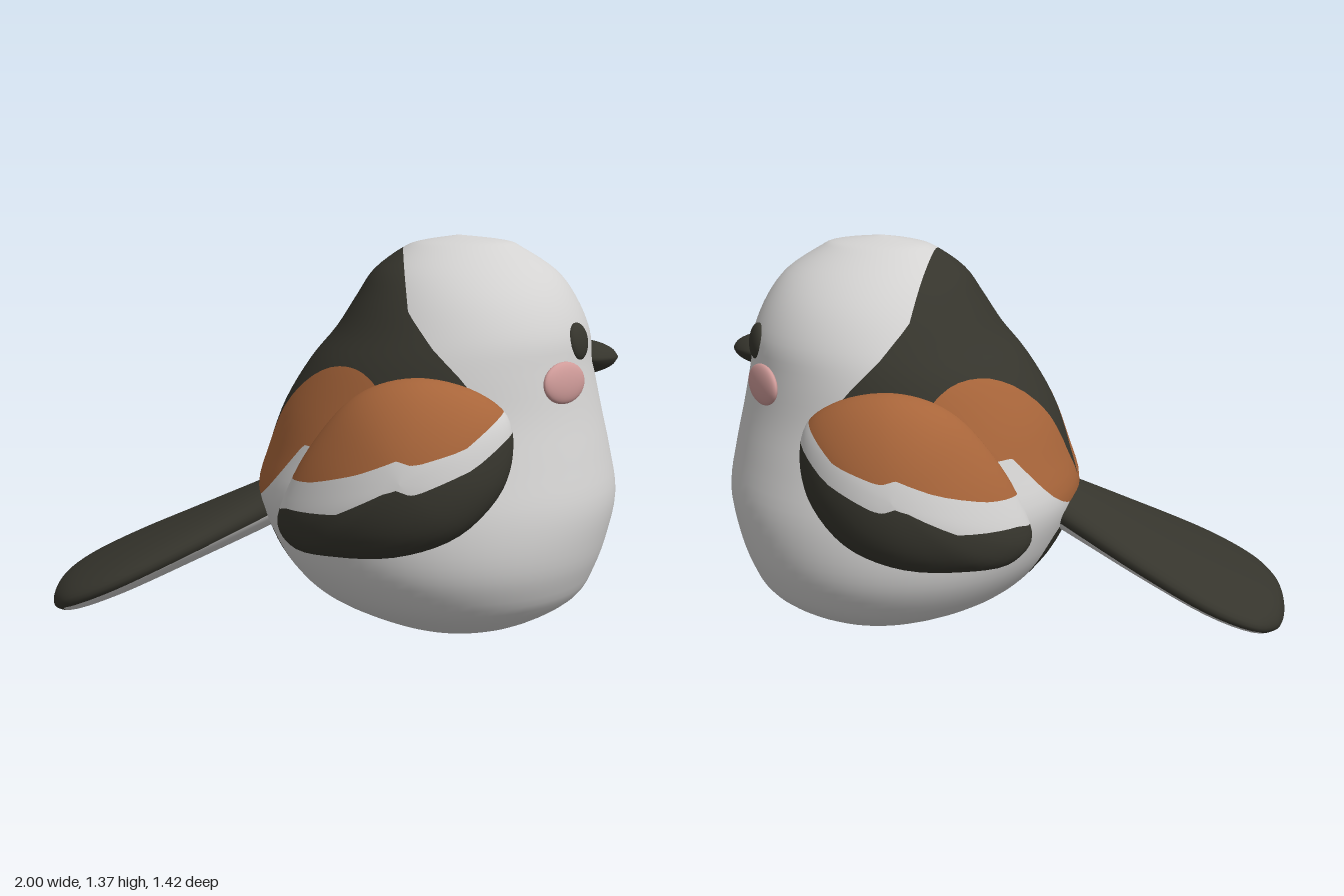
import * as THREE from 'three';

const mat = (name, color, extra = {}) => {
  const m = new THREE.MeshStandardMaterial({ color, ...extra });
  m.name = name;
  return m;
};

// Catmull-Rom resampling of a small table of cross-section rows
function refine(rows, steps) {
  const out = [], last = rows.length - 1;
  for (let i = 0; i < last; i++) {
    const [a, b, c, d] = [rows[Math.max(i - 1, 0)], rows[i], rows[i + 1], rows[Math.min(i + 2, last)]];
    for (let k = 0; k < steps; k++) {
      const t = k / steps;
      out.push(b.map((v, n) => v + 0.5 * t * (c[n] - a[n] + t * (2 * a[n] - 5 * v + 4 * c[n] - d[n]
        + t * (3 * (v - c[n]) + d[n] - a[n])))));
    }
  }
  out.push(rows[last]);
  return out;
}

// Skin closed loops: place(row, u) returns a point for u in 0..1
function loft(rows, seg, place) {
  const pos = [], idx = [];
  rows.forEach((row, i) => {
    for (let j = 0; j < seg; j++) {
      pos.push(...place(row, j / seg));
      if (i === rows.length - 1) continue;
      const a = i * seg + j, b = i * seg + (j + 1) % seg;
      idx.push(a, a + seg, b, b, a + seg, b + seg);
    }
  });
  const g = new THREE.BufferGeometry();
  g.setAttribute('position', new THREE.Float32BufferAttribute(pos, 3));
  g.setIndex(idx);
  g.computeVertexNormals();
  return g;
}

// Cut a geometry along f(x, y, z) = 0; returns [positive side, negative side]
function split(geo, f) {
  const src = geo.index ? geo.toNonIndexed() : geo;
  const P = src.attributes.position.array, N = src.attributes.normal.array;
  const sides = [1, -1].map((sign) => {
    const pos = [], nor = [];
    for (let t = 0; t < P.length; t += 9) {
      const tri = [0, 3, 6].map((o) => {
        const p = [...P.slice(t + o, t + o + 3)];
        return { v: [...p, ...N.slice(t + o, t + o + 3)], d: sign * f(...p) };
      });
      const poly = [];
      tri.forEach((a, k) => {
        const b = tri[(k + 1) % 3];
        if (a.d >= 0) poly.push(a.v);
        if ((a.d >= 0) !== (b.d >= 0)) {
          const s = a.d / (a.d - b.d);
          poly.push(a.v.map((q, n) => q + s * (b.v[n] - q)));
        }
      });
      for (let k = 1; k + 1 < poly.length; k++) {
        for (const v of [poly[0], poly[k], poly[k + 1]]) {
          pos.push(v[0], v[1], v[2]);
          nor.push(v[3], v[4], v[5]);
        }
      }
    }
    const g = new THREE.BufferGeometry();
    g.setAttribute('position', new THREE.Float32BufferAttribute(pos, 3));
    g.setAttribute('normal', new THREE.Float32BufferAttribute(nor, 3));
    return g;
  });
  return sides;
}

// Piecewise-linear lookup in [[x, y], ...]
function lookup(table, x) {
  if (x <= table[0][0]) return table[0][1];
  for (let i = 1; i < table.length; i++) {
    const [x0, y0] = table[i - 1], [x1, y1] = table[i];
    if (x <= x1) return y0 + (y1 - y0) * (x - x0) / (x1 - x0);
  }
  return table[table.length - 1][1];
}

export function createModel() {
  const model = new THREE.Group();
  model.name = 'bird';
  const white = mat('white plumage', 0xd3d2d1);
  const dark = mat('dark plumage', 0x36352d);
  const orange = mat('orange plumage', 0xa8653a);
  const pink = mat('pink cheek', 0xcf9b99);
  const add = (parent, name, geo, material) => {
    const m = new THREE.Mesh(geo, material);
    m.name = name;
    parent.add(m);
    return m;
  };
  const group = (name) => {
    const g = new THREE.Group();
    g.name = name;
    model.add(g);
    return g;
  };
  const TAU = Math.PI * 2;

  // Body: y, back x, front x, half width
  const bodyRows = [
    [0.005, 0.42, 0.42, 0], [0.025, 0.27, 0.60, 0.20], [0.06, 0.15, 0.74, 0.34], [0.15, -0.04, 0.885, 0.5],
    [0.25, -0.145, 0.94, 0.575], [0.36, -0.21, 0.975, 0.605], [0.5, -0.255, 1.0, 0.595],
    [0.65, -0.215, 0.975, 0.55], [0.8, -0.16, 0.94, 0.505], [0.95, -0.07, 0.908, 0.47],
    [1.06, 0.02, 0.893, 0.43], [1.17, 0.09, 0.845, 0.36], [1.26, 0.15, 0.775, 0.265],
    [1.335, 0.25, 0.66, 0.145], [1.36, 0.32, 0.60, 0.085], [1.378, 0.44, 0.44, 0],
  ];
  const bodyGeo = loft(refine(bodyRows, 4), 72, ([y, xb, xf, w], u) => [
    (xb + xf) / 2 + (xf - xb) / 2 * Math.cos(u * TAU), y, w * Math.sin(u * TAU)]);

  // Plumage regions of the body
  const capEdge = [[0.9, 0.48], [0.93, 0.46], [1.035, 0.355], [1.14, 0.275], [1.33, 0.25]];
  const backRegion = (x, y) => Math.min(lookup(capEdge, y) - x, y - Math.min(0.48 + 1.27 * (x + 0.24), 0.7));
  const [vent, upper] = split(bodyGeo, (x, y, z) =>
    Math.min(0.3 - x, 1 - (z / 0.2) ** 2 - ((y - 0.3) / 0.15) ** 2));
  const [back, belly] = split(upper, backRegion);
  const [flanks, mantle] = split(back, (x, y, z) => Math.abs(z) - (x + 0.25));
  const body = group('body');
  add(body, 'headAndBelly', belly, white);
  add(body, 'mantle', mantle, dark);
  add(body, 'shoulderPatches', flanks, orange);
  add(body, 'ventPatch', vent, dark);

  // Wings: inflated outline with three colour bands
  const outline = new THREE.CatmullRomCurve3([
    [-0.145, 0.45], [-0.1, 0.6], [-0.02, 0.74], [0.09, 0.87], [0.195, 0.93], [0.33, 0.95], [0.49, 0.91],
    [0.595, 0.83], [0.617, 0.72], [0.585, 0.6], [0.46, 0.47], [0.275, 0.4], [0.06, 0.38], [-0.09, 0.39],
  ].map(([x, y]) => new THREE.Vector3(x, y, 0)), true);
  const coverts = [[-0.12, 0.605], [-0.03, 0.62], [0.13, 0.67], [0.25, 0.72], [0.3, 0.705], [0.46, 0.75], [0.6, 0.855]];
  const bar = [[-0.145, 0.5], [-0.115, 0.52], [0.06, 0.54], [0.24, 0.635], [0.3, 0.615], [0.49, 0.69], [0.617, 0.78]];
  const wingRows = Array.from({ length: 25 }, (_, i) => [(i / 24 - 0.5) * Math.PI]);
  for (const [s, name] of [[1, 'nearWing'], [-1, 'farWing']]) {
    const geo = loft(wingRows, 64, ([phi], u) => {
      const p = outline.getPoint(s > 0 ? u : (1 - u) % 1), r = Math.cos(phi);
      const x = 0.26 + r * (p.x - 0.26), y = 0.65 + r * (p.y - 0.65);
      const rest = 0.55 - 0.2 * (y - 0.65) - 0.7 * (x - 0.33) ** 2;
      return [x, y, s * (rest + Math.sin(phi) * (phi > 0 ? 0.155 : 0.08))];
    });
    const [top, lower] = split(geo, (x, y) => y - lookup(coverts, x));
    const [band, flight] = split(lower, (x, y) => y - lookup(bar, x));
    const wing = group(name);
    add(wing, 'coverts', top, orange);
    add(wing, 'wingBar', band, white);
    add(wing, 'flightFeathers', flight, dark);
  }

  // Tail: x, centre y, half width, half thickness
  const tailRows = [
    [-0.1, 0.485, 0.13, 0.08], [-0.25, 0.415, 0.19, 0.085], [-0.5, 0.30, 0.285, 0.085], [-0.72, 0.2, 0.335, 0.085],
    [-0.88, 0.13, 0.305, 0.077], [-0.96, 0.097, 0.21, 0.06], [-0.99, 0.083, 0.11, 0.035], [-1, 0.075, 0, 0],
  ];
  const tailGeo = loft(refine(tailRows, 4), 40, ([x, y, hz, hy], u) => [
    x, y - hy * Math.sin(u * TAU), hz * Math.cos(u * TAU)]);
  const centreLine = tailRows.map(([x, y]) => [x, y]).reverse();
  const [under, over] = split(tailGeo, (x, y) => Math.min(lookup(centreLine, x) - 0.02 - y, x + 0.92));
  const tail = group('tail');
  add(tail, 'tailTop', over, dark);
  add(tail, 'tailUnderside', under, white);

  // Beak: x, half width, half height, lens-shaped section
  const beakRows = [[0.86, 0.09, 0.06], [0.91, 0.088, 0.056], [0.95, 0.066, 0.043], [0.98, 0.035, 0.025], [0.997, 0, 0]];
  add(model, 'beak', loft(refine(beakRows, 3), 24, ([x, hz, hy], u) => {
    const s = Math.sin(u * TAU);
    return [x, 0.96 + hy * s * Math.abs(s) ** 0.5, hz * Math.cos(u * TAU)];
  }), dark);

  // Eyes and cheeks: flattened ovals lying on the head
  const ball = new THREE.SphereGeometry(1, 28, 18);
  for (const s of [1, -1]) {
    for (const [name, material, p, yaw, tilt, size] of [
      ['eye', dark, [0.835, 1.037, 0.21], 0.53, 0.15, [0.06, 0.063, 0.026]],
      ['cheek', pink, [0.785, 0.915, 0.325], 0.75, 0.08, [0.103, 0.069, 0.024]],
    ]) {
      const m = add(model, name, ball, material);
      m.position.set(p[0], p[1], s * p[2]);
      m.lookAt(p[0] + Math.cos(yaw), p[1] + tilt, s * (p[2] + Math.sin(yaw)));
      m.scale.set(...size);
    }
  }
  return model;
}
